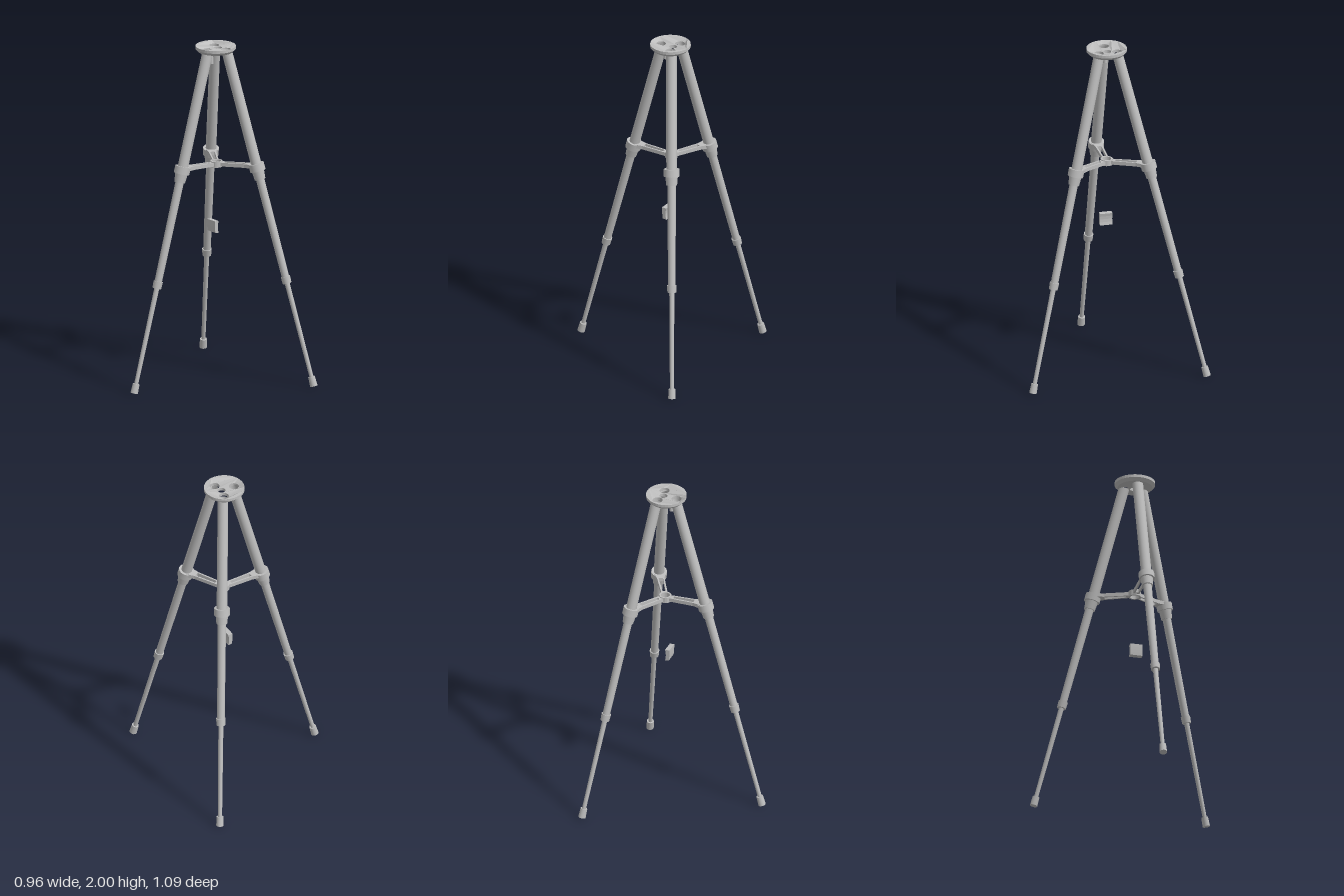
import * as THREE from 'three';

const CX = 0.147;     // tripod axis
const SLOPE = 0.2758; // outward lean of a leg per unit of height
const TILT = Math.atan(SLOPE);
const legRadius = (y) => 0.6 - SLOPE * (y - 0.03);

export function createModel() {
  const grey = new THREE.MeshStandardMaterial({ color: 0xbebebe, side: THREE.DoubleSide });
  grey.name = 'light grey metal';
  const root = new THREE.Group();
  root.name = 'tripod';
  const body = new THREE.Group();
  body.name = 'body';
  body.position.x = CX;
  root.add(body);

  const add = (parent, name, geometry) => {
    const mesh = new THREE.Mesh(geometry, grey);
    mesh.name = name;
    parent.add(mesh);
    return mesh;
  };

  const circle = (x, y, r) => new THREE.Path().absarc(x, y, r, 0, Math.PI * 2, true);

  // Cylinder along the leaning leg axis between two heights
  const legPart = (parent, name, y0, y1, r0, r1, open = false) => {
    const length = (y1 - y0) / Math.cos(TILT);
    const part = add(parent, name, new THREE.CylinderGeometry(r1, r0, length, 20, 1, open));
    const y = (y0 + y1) / 2;
    part.position.set(legRadius(y), y, 0);
    part.rotation.z = TILT;
  };

  // Three identical telescopic legs with their brace arms
  const angles = [Math.PI, 1.035, -1.035];
  for (const angle of angles) {
    const leg = new THREE.Group();
    leg.name = 'leg';
    leg.rotation.y = angle;
    body.add(leg);

    legPart(leg, 'upperTube', 1.27, 1.97, 0.031, 0.031, true);
    legPart(leg, 'collar', 1.27, 1.312, 0.046, 0.046);
    legPart(leg, 'clamp', 1.22, 1.275, 0.032, 0.037);
    legPart(leg, 'middleTube', 0.63, 1.24, 0.022, 0.025);
    legPart(leg, 'lowerCollar', 0.61, 0.65, 0.026, 0.028);
    legPart(leg, 'lowerTube', 0.04, 0.63, 0.012, 0.015);
    legPart(leg, 'foot', 0.006, 0.06, 0.022, 0.02);

    // Slotted, tapered arm from the hub to the collar
    const shape = new THREE.Shape();
    shape.moveTo(0.026, -0.018);
    shape.lineTo(0.18, -0.022);
    shape.lineTo(0.235, -0.035);
    shape.lineTo(0.235, 0.035);
    shape.lineTo(0.18, 0.022);
    shape.lineTo(0.026, 0.018);
    const slot = new THREE.Path();
    slot.moveTo(0.05, -0.009);
    slot.lineTo(0.05, 0.009);
    slot.lineTo(0.18, 0.013);
    slot.lineTo(0.18, -0.013);
    shape.holes.push(slot);
    const arm = new THREE.ExtrudeGeometry(shape, { depth: 0.022, bevelEnabled: false });
    arm.rotateX(-Math.PI / 2);
    // Rise slightly towards the collar
    const p = arm.attributes.position;
    for (let i = 0; i < p.count; i++) p.setY(i, p.getY(i) + 1.275 + 0.05 * p.getX(i));
    arm.computeVertexNormals();
    add(leg, 'braceArm', arm);
  }

  // Open ring where the arms meet
  const ring = new THREE.Shape().absarc(0, 0, 0.036, 0, Math.PI * 2, false);
  ring.holes.push(circle(0, 0, 0.026));
  const hub = new THREE.ExtrudeGeometry(ring, { depth: 0.034, bevelEnabled: false, curveSegments: 10 });
  hub.rotateX(-Math.PI / 2);
  add(body, 'braceHub', hub).position.y = 1.27;

  // Slightly dished top plate with openings over the tubes, rim drawn in at the bottom
  const plate = new THREE.Shape().absarc(0, 0, 0.118, 0, Math.PI * 2, false);
  for (const a of angles) plate.holes.push(circle(0.064 * Math.cos(a), 0.064 * Math.sin(a), 0.029));
  plate.holes.push(circle(0.018, 0, 0.023));
  const plateGeo = new THREE.ExtrudeGeometry(plate, { depth: 0.034, steps: 2, bevelEnabled: false, curveSegments: 20 });
  const v = plateGeo.attributes.position;
  for (let i = 0; i < v.count; i++) {
    const onRim = Math.hypot(v.getX(i), v.getY(i)) > 0.11;
    if (onRim && v.getZ(i) < 0.001) v.setXY(i, v.getX(i) * 0.86, v.getY(i) * 0.86);
    if (!onRim) v.setZ(i, v.getZ(i) * 0.55);
  }
  plateGeo.rotateX(-Math.PI / 2);
  plateGeo.computeVertexNormals();
  add(body, 'topPlate', plateGeo).position.set(-0.006, 1.966, 0);

  // Small hook beneath the plate
  const hook = add(body, 'plateHook', new THREE.CylinderGeometry(0.011, 0.012, 0.07, 12));
  hook.position.set(-0.038, 1.931, 0);

  // Curved plate hanging between the legs
  const tag = new THREE.Shape();
  tag.moveTo(-0.014, 0.038);
  tag.lineTo(0.014, 0.036);
  tag.quadraticCurveTo(0.004, 0, 0.014, -0.036);
  tag.lineTo(-0.01, -0.032);
  tag.quadraticCurveTo(-0.014, 0, -0.014, 0.038);
  const tagGeo = new THREE.ExtrudeGeometry(tag, { depth: 0.074, bevelEnabled: false, curveSegments: 4 });
  tagGeo.translate(0, 0, -0.037);
  add(body, 'hangingPlate', tagGeo).position.set(-0.027, 0.914, 0);

  return root;
}
